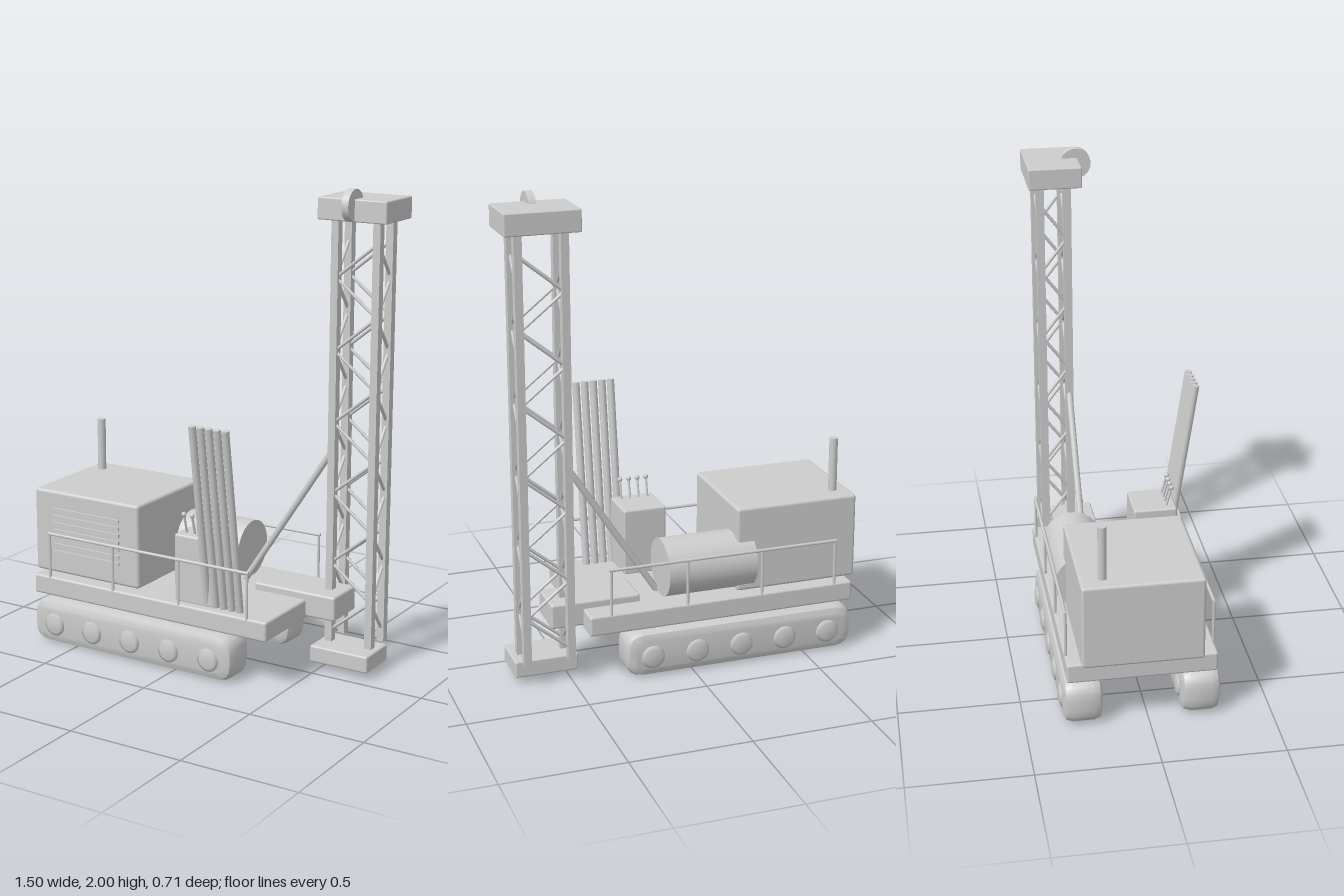
import * as THREE from 'three';
import { toCreasedNormals } from 'three/addons/utils/BufferGeometryUtils.js';
import { RoundedBoxGeometry } from 'three/addons/geometries/RoundedBoxGeometry.js';

export function createModel() {
  const model = new THREE.Group();
  model.name = 'drillingRig';
  const grey = new THREE.MeshStandardMaterial({ color: 0xcccccc });
  grey.name = 'plain grey';

  function add(name, geometry, x = 0, y = 0, z = 0, parent = model) {
    const mesh = new THREE.Mesh(geometry, grey);
    mesh.name = name;
    mesh.position.set(x, y, z);
    parent.add(mesh);
    return mesh;
  }
  function group(name) {
    const g = new THREE.Group();
    g.name = name;
    model.add(g);
    return g;
  }
  // Box given by its limits, with optional softened edges
  function block(name, [x0, x1], [y0, y1], [z0, z1], r = 0.01, parent = model) {
    const size = [x1 - x0, y1 - y0, z1 - z0];
    const geo = r ? new RoundedBoxGeometry(...size, 2, r) : new THREE.BoxGeometry(...size);
    return add(name, geo, (x0 + x1) / 2, (y0 + y1) / 2, (z0 + z1) / 2, parent);
  }
  // Round bar between two points
  function rod(name, a, b, r, parent = model, sides = 12) {
    const p = new THREE.Vector3(...a), q = new THREE.Vector3(...b);
    const mid = p.clone().add(q).multiplyScalar(0.5);
    const mesh = add(name, new THREE.CylinderGeometry(r, r, p.distanceTo(q), sides), mid.x, mid.y, mid.z, parent);
    mesh.quaternion.setFromUnitVectors(new THREE.Vector3(0, 1, 0), q.sub(p).normalize());
    return mesh;
  }

  // Crawler tracks with road wheels on both faces
  const hw = 0.5, hh = 0.0975, c = 0.075, bevel = 0.035;
  const outline = new THREE.Shape();
  outline.moveTo(-hw + c, -hh).lineTo(hw - c, -hh);
  outline.quadraticCurveTo(hw, -hh, hw, -hh + c).lineTo(hw, hh - c);
  outline.quadraticCurveTo(hw, hh, hw - c, hh).lineTo(-hw + c, hh);
  outline.quadraticCurveTo(-hw, hh, -hw, hh - c).lineTo(-hw, -hh + c);
  outline.quadraticCurveTo(-hw, -hh, -hw + c, -hh);
  const trackGeo = toCreasedNormals(new THREE.ExtrudeGeometry(outline, {
    depth: 0.16 - 2 * bevel, bevelEnabled: true, bevelSize: bevel, bevelThickness: bevel,
    bevelOffset: -bevel, bevelSegments: 2, curveSegments: 4,
  }).translate(0, 0, bevel - 0.08), 0.5);
  const wheelGeo = new THREE.LatheGeometry([
    [0, -0.09], [0.035, -0.089], [0.05, -0.08], [0.05, 0.08], [0.035, 0.089], [0, 0.09],
  ].map(([r, y]) => new THREE.Vector2(r, y)), 24).rotateX(Math.PI / 2);
  for (const [side, z, beam] of [['left', 0.215, [0.13, 0.2]], ['right', -0.265, [-0.25, -0.18]]]) {
    const g = group(side + 'Crawler');
    add('track', trackGeo, -0.215, hh, z, g);
    for (let i = 0; i < 5; i++) add('roadWheel', wheelGeo, -0.6 + i * 0.194, 0.088, z, g);
    block('trackBeam', [-0.635, 0.205], [0.158, 0.22], beam, 0, g);
  }

  // Deck, engine house and mast support
  block('deck', [-0.715, 0.44], [0.21, 0.295], [-0.333, 0.278]);
  block('engineHouse', [-0.75, -0.215], [0.295, 0.66], [-0.277, 0.217], 0.013);
  block('mastPlatform', [0.195, 0.575], [0.222, 0.327], [-0.236, -0.048]);
  for (let i = 0; i < 7; i++) {
    const y = 0.39 + i * 0.0315;
    block('louver', [-0.655, -0.31], [y - 0.007, y + 0.007], [0.21, 0.226], 0);
  }
  rod('exhaust', [-0.68, 0.64, -0.185], [-0.68, 0.89, -0.185], 0.018, model, 20);

  // Winch drum lying along the deck
  rod('winchDrum', [-0.29, 0.418, -0.2], [0.095, 0.418, -0.2], 0.122, model, 40);

  // Control stand with levers
  block('controlStand', [-0.02, 0.17], [0.29, 0.583], [0.053, 0.24]);
  const levers = group('levers');
  for (let i = 0; i < 4; i++) {
    const x = 0.016 + i * 0.039;
    rod('leverStem', [x, 0.575, 0.197], [x, 0.665, 0.22], 0.005, levers, 8);
    add('leverKnob', new THREE.SphereGeometry(0.011, 12, 8), x, 0.665, 0.22, levers);
  }

  // Leaning stack of drill pipes
  const pipes = group('drillPipes');
  for (let i = 0; i < 5; i++) {
    const x = 0.133 + i * 0.0385;
    rod('drillPipe', [x, 0.28, 0.222], [x, 1.08, 0.341], 0.016, pipes, 16);
  }

  // Guard rails along both deck edges
  for (const [side, z] of [['left', 0.272], ['right', -0.326]]) {
    const g = group(side + 'Railing');
    rod('handrail', [-0.64, 0.486, z], [0.355, 0.486, z], 0.007, g, 8);
    for (let i = 0; i < 4; i++) {
      const x = -0.635 + i * 0.3275;
      rod('railPost', [x, 0.28, z], [x, 0.486, z], 0.006, g, 8);
    }
  }

  // Lattice mast: four legs joined by zigzag lacing
  const mast = group('mast');
  const xs = [0.503, 0.688], zs = [-0.149, -0.263];
  for (const x of xs) for (const z of zs) {
    const bottom = z === zs[0] ? 0.08 : 0.1;
    block('mastLeg', [x - 0.016, x + 0.016], [bottom, 1.88], [z - 0.017, z + 0.017], 0, mast);
  }
  const steps = 11, y0 = 0.145, dy = 0.149;
  for (let i = 0; i < steps; i++) {
    const a = i % 2, b = 1 - a, ya = y0 + i * dy, yb = ya + dy;
    for (const z of zs) rod('frontLacing', [xs[a], ya, z], [xs[b], yb, z], 0.007, mast, 8);
    rod('sideLacing', [xs[0], ya, zs[a]], [xs[0], yb, zs[b]], 0.007, mast, 8);
    rod('sideLacing', [xs[1], ya, zs[b]], [xs[1], yb, zs[a]], 0.007, mast, 8);
  }
  block('mastFoot', [0.463, 0.73], [0.028, 0.1], [-0.233, -0.047], 0.008, mast);
  block('mastHead', [0.445, 0.75], [1.87, 1.96], [-0.315, -0.09], 0.006, mast);
  rod('sheave', [0.58, 1.935, -0.1], [0.611, 1.935, -0.1], 0.065, mast, 32);

  // Diagonal strut bracing the mast
  rod('mastStrut', [0.09, 0.29, -0.145], [0.503, 0.925, -0.149], 0.014);

  return model;
}
